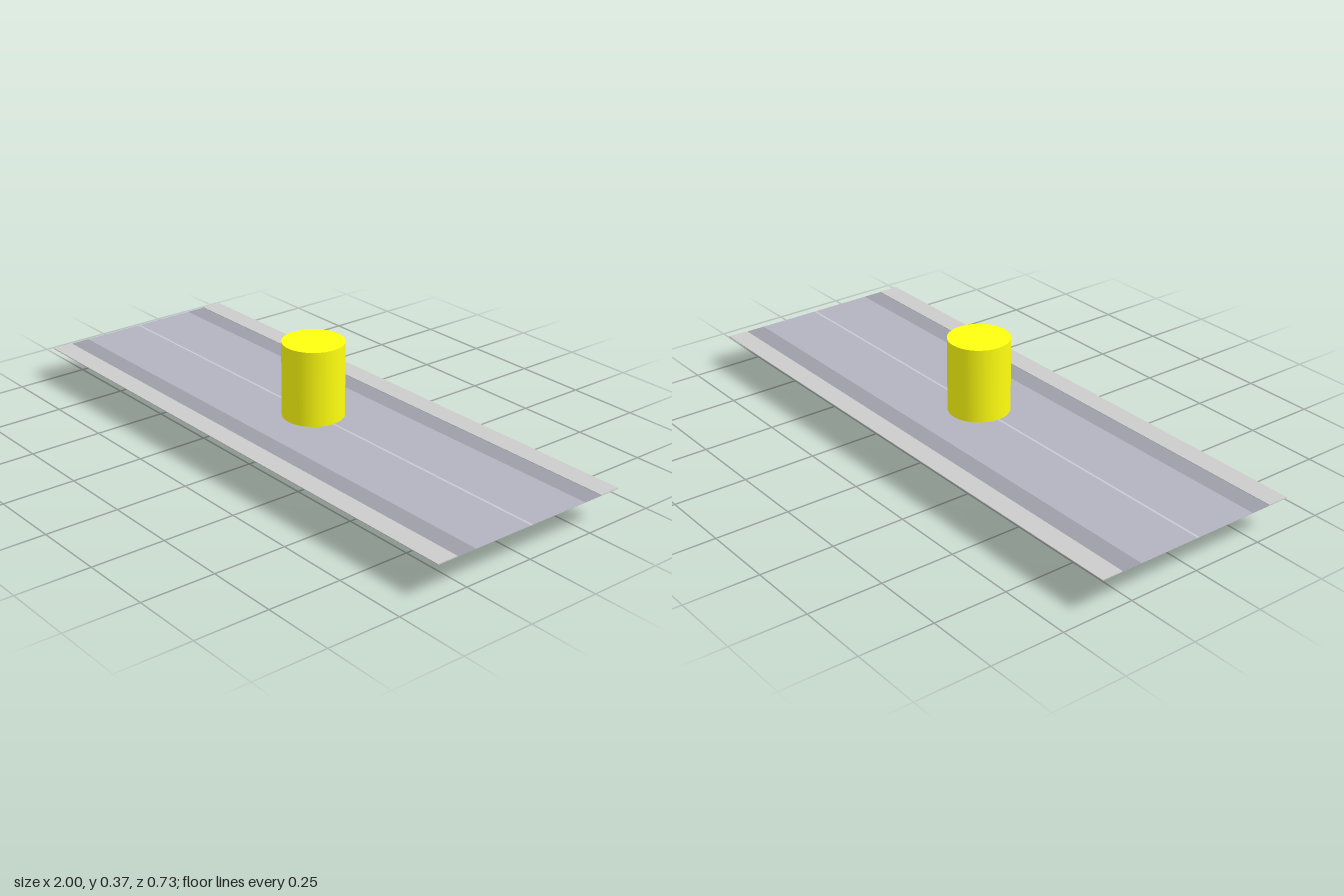
import * as THREE from 'three';

const LENGTH = 2;
const BASE_Y = 0.11;

const material = (color) => new THREE.MeshStandardMaterial({ color });

// A full-length strip between two z values, resting on the given height
function strip(name, z0, z1, y0, y1, mat) {
  const mesh = new THREE.Mesh(new THREE.BoxGeometry(LENGTH, y1 - y0, z1 - z0), mat);
  mesh.name = name;
  mesh.position.set(0, (y0 + y1) / 2, (z0 + z1) / 2);
  return mesh;
}

export function createModel() {
  const group = new THREE.Group();
  group.name = 'roadWithPost';

  const pavement = material(0xe0e0e3);
  const asphalt = material(0xb3b3c1);
  const gutter = material(0x9e9ea9);
  const paint = material(0xc8c8d2);
  const yellow = material(0xffff10);

  // Thin slab under the whole road
  const road = new THREE.Group();
  road.name = 'road';
  road.add(strip('roadBase', -0.363, 0.363, BASE_Y, BASE_Y + 0.0006, pavement));

  // Matching lane, gutter and raised pavement on each side
  const surfaceY = BASE_Y + 0.0006;
  for (const side of [-1, 1]) {
    const add = (name, a, b, top, mat) =>
      road.add(strip(name, Math.min(side * a, side * b), Math.max(side * a, side * b), surfaceY, top, mat));
    add('lane', 0.004, 0.22, 0.1112, asphalt);
    add('gutter', 0.22, 0.29, 0.1112, gutter);
    add('sidewalk', 0.29, 0.363, 0.113, pavement);
  }

  // Painted line between the lanes
  road.add(strip('centreLine', -0.004, 0.004, surfaceY, 0.1112, paint));
  group.add(road);

  // Round post passing through the road
  const post = new THREE.Mesh(new THREE.CylinderGeometry(0.103, 0.103, 0.366, 48), yellow);
  post.name = 'post';
  post.position.set(0.017, 0.183, 0);
  group.add(post);

  return group;
}
